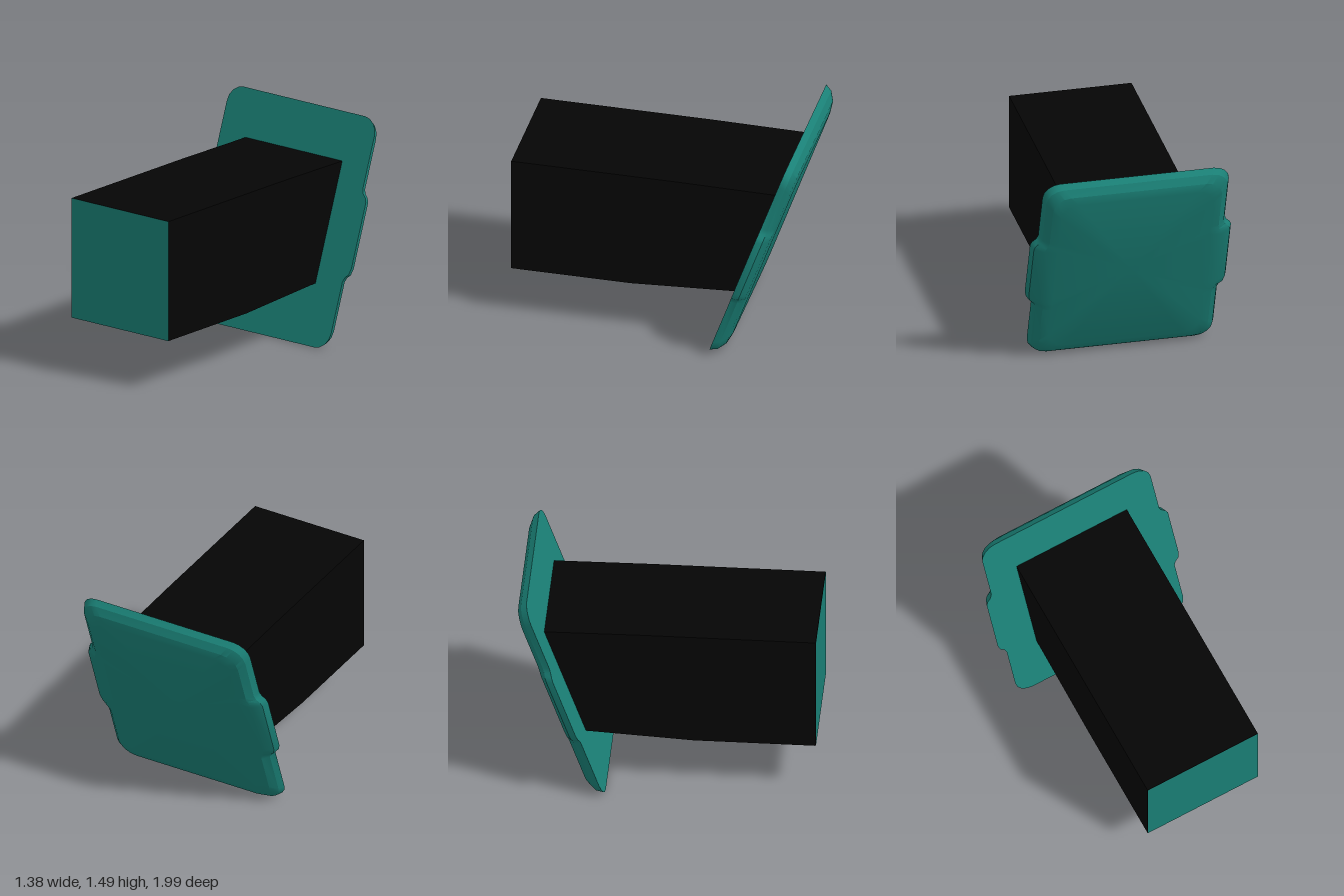
import * as THREE from 'three';
import { toCreasedNormals } from 'three/addons/utils/BufferGeometryUtils.js';

const TILT = 0.342;
const HALF_W = 0.64;
const HEIGHT = 1.582;

// Right half of the plate outline, bottom to top: [x, y]
function halfOutline() {
  const r = 0.115, pts = [];
  const corner = (cy, from) => {
    for (let i = 0; i <= 4; i++) {
      const a = from + (i / 4) * Math.PI / 2;
      pts.push([HALF_W - r + r * Math.cos(a), cy + r * Math.sin(a)]);
    }
  };
  corner(r, -Math.PI / 2);
  // side grip bulge
  pts.push([0.64, 0.47], [0.652, 0.50], [0.678, 0.525], [0.69, 0.57]);
  pts.push([0.69, 1.02], [0.678, 1.05], [0.652, 1.075], [0.64, 1.105]);
  corner(HEIGHT - r, 0);
  return pts;
}

// Plate built from inset copies of the outline; the bulge fades towards the back
function plateGeometry() {
  const right = halfOutline();
  const outline = [...right, ...right.map(([x, y]) => [-x, y]).reverse()];
  const layers = [ // depth, inset, bulge strength
    [0, 0, 1], [0.047, 0.017, 1], [0.086, 0.06, 0.5], [0.1, 0.12, 0],
  ];
  const n = outline.length, pos = [], idx = [], mid = HEIGHT / 2;
  for (const [depth, inset, bulge] of layers) {
    for (const [x, y] of outline) {
      const ax = Math.min(Math.abs(x), HALF_W) + Math.max(0, Math.abs(x) - HALF_W) * bulge;
      const dy = y - mid;
      // points on the straight sides stay in place along y
      const iy = inset * Math.min(1, Math.max(0, (Math.abs(dy) - 0.33) / 0.3));
      pos.push(Math.sign(x) * (ax - inset), y - Math.sign(dy) * iy, -depth);
    }
  }
  for (let l = 0; l < layers.length - 1; l++) {
    for (let i = 0; i < n; i++) {
      const j = (i + 1) % n;
      const a = l * n + i, b = l * n + j, c = a + n, d = b + n;
      idx.push(a, c, b, b, c, d);
    }
  }
  // front and back caps
  const last = (layers.length - 1) * n, front = layers.length * n, back = front + 1;
  pos.push(0, mid, 0, 0, mid, -layers[layers.length - 1][0]);
  for (let i = 0; i < n; i++) {
    const j = (i + 1) % n;
    idx.push(front, i, j, back, last + j, last + i);
  }
  const g = new THREE.BufferGeometry();
  g.setAttribute('position', new THREE.Float32BufferAttribute(pos, 3));
  g.setIndex(idx);
  return toCreasedNormals(g, 0.45);
}

export function createModel() {
  const group = new THREE.Group();
  const teal = new THREE.MeshStandardMaterial({ color: 0x1a8076 });
  const black = new THREE.MeshStandardMaterial({ color: 0x050505 });

  const add = (name, geometry, material) => {
    const mesh = new THREE.Mesh(geometry, material);
    mesh.name = name;
    group.add(mesh);
    return mesh;
  };

  // Tilted back plate
  const plate = add('backPlate', plateGeometry(), teal);
  plate.rotation.x = -TILT;
  plate.position.z = -0.4;

  // Long body: side profile (z, y) extruded across x
  const profile = new THREE.Shape([
    [0.998, 0.355], [0.998, 1.19], [-0.16, 1.19], [-0.825, 1.183], [-0.545, 0.395], [0.18, 0.355],
  ].map(([z, y]) => new THREE.Vector2(z, y)));
  const body = new THREE.ExtrudeGeometry(profile, { depth: 0.84, bevelEnabled: false });
  body.rotateY(-Math.PI / 2);
  body.translate(0.42, 0, 0);
  add('body', body, black);

  // Coloured end face of the body
  const face = add('frontFace', new THREE.PlaneGeometry(0.84, 0.835), teal);
  face.position.set(0, 0.7725, 1);

  return group;
}
